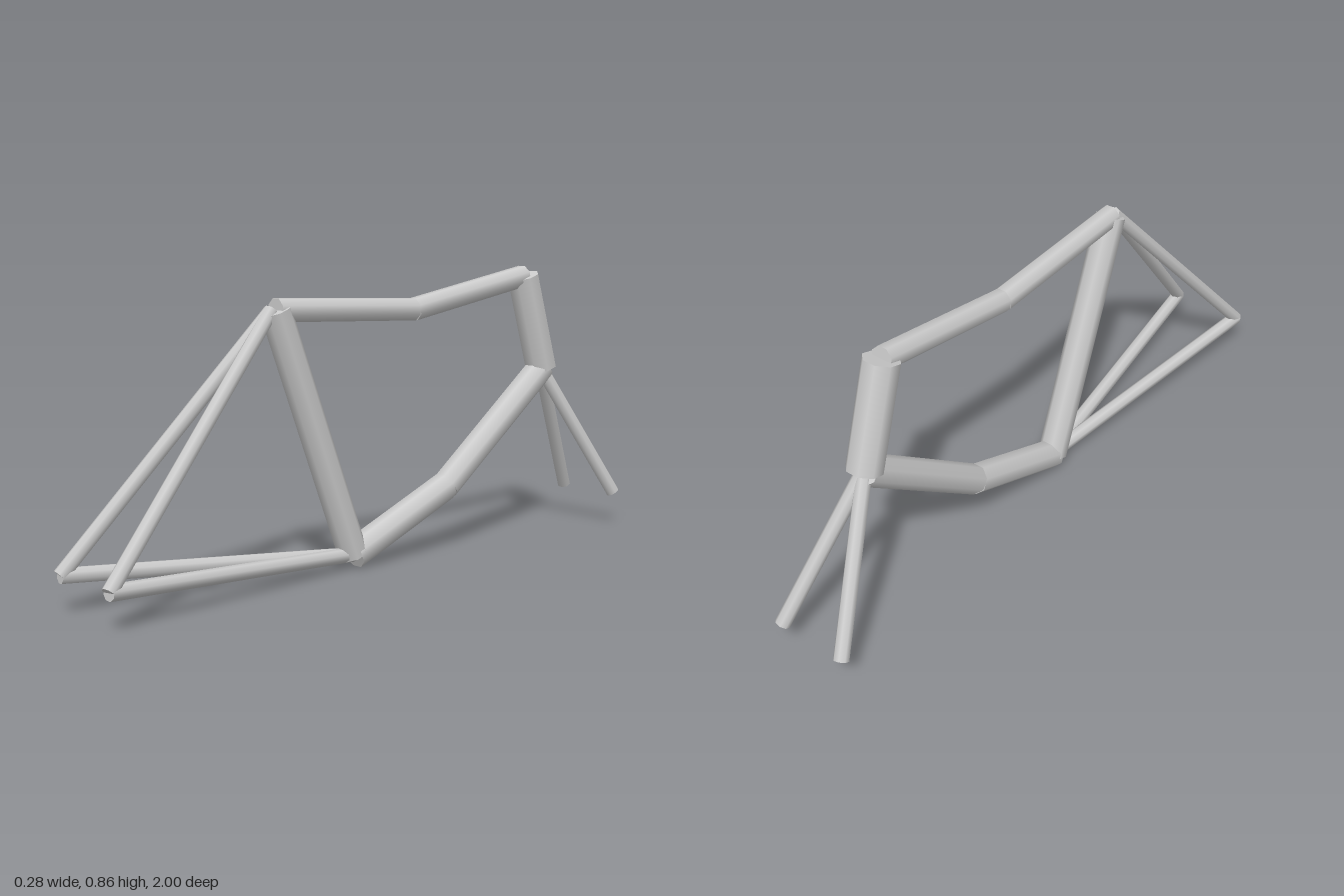
import * as THREE from 'three';

const UP = new THREE.Vector3(0, 1, 0);

export function createModel() {
  const group = new THREE.Group();
  const metal = new THREE.MeshStandardMaterial({ color: 0xcccccc });
  metal.name = 'light grey metal';

  // Straight eight-sided, smooth-shaded tube between two joints
  function tube(name, from, to, radius) {
    const a = new THREE.Vector3(...from);
    const b = new THREE.Vector3(...to);
    const dir = b.clone().sub(a);
    const geometry = new THREE.CylinderGeometry(radius, radius, dir.length(), 8, 1, false, Math.PI / 8);
    const mesh = new THREE.Mesh(geometry, metal);
    mesh.name = name;
    mesh.position.copy(a).add(b).multiplyScalar(0.5);
    mesh.quaternion.setFromUnitVectors(UP, dir.normalize());
    group.add(mesh);
  }

  // Frame joints
  const crank = [0, 0.043, 0.085];
  const seat = [0, 0.77, 0.365];
  const headTop = [0, 0.835, -0.635];
  const headBottom = [0, 0.535, -0.728];
  const topBend = [0, 0.75, -0.155];
  const downBend = [0, 0.2, -0.295];

  // Main frame
  tube('seatTube', crank, seat, 0.045);
  tube('topTubeRear', seat, topBend, 0.035);
  tube('topTubeFront', topBend, headTop, 0.035);
  tube('headTube', headTop, headBottom, 0.052);
  tube('downTubeLower', crank, downBend, 0.045);
  tube('downTubeUpper', downBend, headBottom, 0.045);

  // Mirrored stays and fork blades
  for (const [side, s] of [['left', 1], ['right', -1]]) {
    const axle = [s * 0.117, 0.108, 0.985];
    tube(side + 'ChainStay', crank, axle, 0.022);
    tube(side + 'SeatStay', [0, 0.77, 0.38], axle, 0.021);
    tube(side + 'ForkBlade', headBottom, [s * 0.107, 0.108, -0.978], 0.022);
  }
  return group;
}
